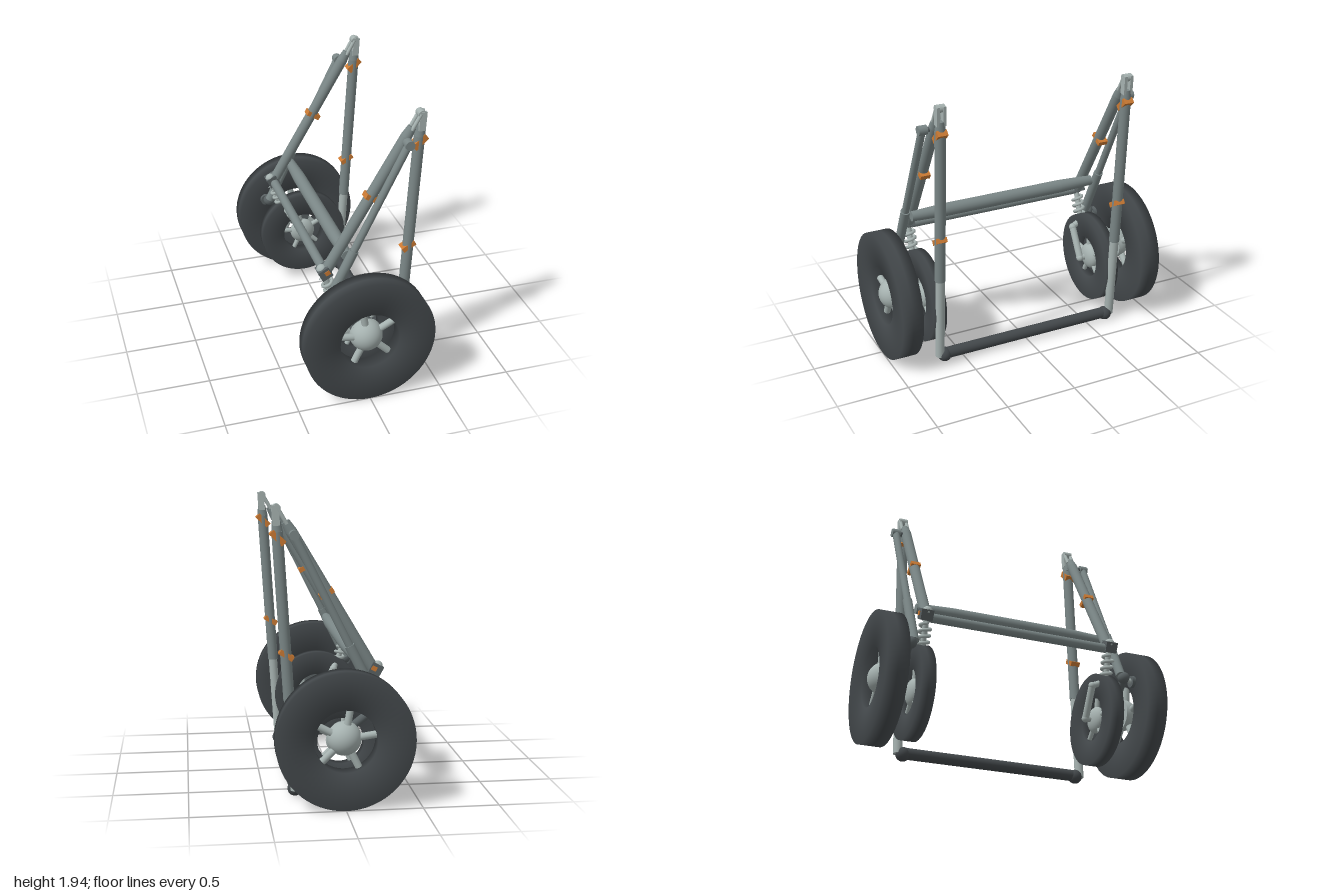
import * as THREE from 'three';

export function createModel() {
  const model = new THREE.Group();
  const paint = (name, color) => {
    const m = new THREE.MeshStandardMaterial({ color });
    m.name = name;
    return m;
  };
  const frame = paint('frame grey', 0x7a8686);
  const light = paint('light metal', 0xa6b2b0);
  const joint = paint('joint grey', 0x596163);
  const rubber = paint('dark rubber', 0x43484b);
  const orange = paint('orange', 0xcb7a33);
  const V = (x, y, z) => new THREE.Vector3(x, y, z);

  function add(parent, name, geometry, material, x = 0, y = 0, z = 0) {
    const mesh = new THREE.Mesh(geometry, material);
    mesh.name = name;
    mesh.position.set(x, y, z);
    parent.add(mesh);
    return mesh;
  }

  // Round rod between two points, optionally tapered
  function rod(parent, name, a, b, ra, material, rb = ra) {
    const dir = b.clone().sub(a);
    const mesh = add(parent, name, new THREE.CylinderGeometry(rb, ra, dir.length(), 20), material);
    mesh.position.copy(a).add(b).multiplyScalar(0.5);
    mesh.quaternion.setFromUnitVectors(V(0, 1, 0), dir.normalize());
    return mesh;
  }

  const ball = (parent, name, p, r, material) =>
    add(parent, name, new THREE.SphereGeometry(r, 24, 16), material, p.x, p.y, p.z);

  // Smooth ring around the z axis with slightly dished side faces
  function dishedRing(parent, name, outer, inner, halfRim, halfBore, y, z) {
    const profile = [
      [outer, 0], [outer, halfRim], [inner, halfBore], [inner, -halfBore], [outer, -halfRim], [outer, 0],
    ].map(([r, h]) => new THREE.Vector2(r, h));
    const geometry = new THREE.LatheGeometry(profile, 64);
    geometry.rotateX(Math.PI / 2);
    return add(parent, name, geometry, rubber, 0, y, z);
  }

  // Five spokes round a hub
  function spokes(parent, name, y, z, reach, r) {
    for (let i = 0; i < 5; i++) {
      const a = THREE.MathUtils.degToRad(100 + 72 * i);
      rod(parent, name, V(0, y, z), V(reach * Math.cos(a), y + reach * Math.sin(a), z), r, light);
    }
  }

  // Orange clamp plate set across a tube
  function clamp(parent, x, y, z, angle, length, thickness = 0.035) {
    const mesh = add(parent, 'clamp', new THREE.BoxGeometry(length, thickness, 0.07), orange, x, y, z);
    mesh.rotation.z = angle;
  }

  for (const s of [1, -1]) {
    const side = new THREE.Group();
    side.name = s > 0 ? 'frontSide' : 'backSide';
    model.add(side);
    const P = (x, y, z) => V(x, y, z * s);

    // Large wheel with domed hub, spokes and axle
    dishedRing(side, 'wheel', 0.45, 0.205, 0.075, 0.055, 0.45, 0.925 * s);
    const dome = add(side, 'hub', new THREE.SphereGeometry(0.112, 28, 12, 0, Math.PI * 2, 0, Math.PI / 2),
      light, 0, 0.45, 0.886 * s);
    dome.rotation.x = s * Math.PI / 2;
    rod(side, 'hubBack', P(0, 0.45, 0.87), P(0, 0.45, 0.887), 0.112, light);
    spokes(side, 'spoke', 0.45, 0.915 * s, 0.215, 0.024);
    rod(side, 'axle', P(0, 0.45, 0.77), P(0, 0.45, 0.88), 0.02, light);
    rod(side, 'axleCap', P(0, 0.455, 0.77), P(0, 0.455, 0.82), 0.08, joint);

    // Small inner wheel with its crank
    dishedRing(side, 'innerWheel', 0.325, 0.155, 0.05, 0.035, 0.385, 0.68 * s);
    ball(side, 'innerHub', P(0, 0.385, 0.68), 0.095, light).scale.z = 0.55;
    spokes(side, 'innerSpoke', 0.385, 0.68 * s, 0.165, 0.017);
    rod(side, 'crankAxle', P(0, 0.385, 0.58), P(0, 0.385, 0.68), 0.022, light);
    rod(side, 'crankArm', P(0, 0.385, 0.595), P(-0.12, 0.59, 0.595), 0.025, light);
    ball(side, 'crankEnd', P(0, 0.385, 0.595), 0.027, light);
    ball(side, 'crankEnd', P(-0.12, 0.59, 0.595), 0.027, light);
    rod(side, 'crankPin', P(-0.12, 0.59, 0.595), P(-0.15, 0.62, 0.68), 0.022, light);

    // Coil spring around its strut
    const top = P(-0.24, 0.86, 0.68), bottom = P(-0.15, 0.61, 0.68);
    rod(side, 'springStrut', bottom, top, 0.02, light);
    const axis = top.clone().sub(bottom).normalize();
    const across = V(0, 0, 1).cross(axis);
    const coil = [];
    for (let i = 0; i <= 64; i++) {
      const a = i / 64 * Math.PI * 8;
      coil.push(bottom.clone().lerp(top, 0.1 + 0.65 * i / 64)
        .addScaledVector(across, 0.036 * Math.cos(a)).add(V(0, 0, 0.036 * Math.sin(a))));
    }
    add(side, 'spring', new THREE.TubeGeometry(new THREE.CatmullRomCurve3(coil), 128, 0.012, 6), light);
    ball(side, 'springHead', P(-0.245, 0.875, 0.68), 0.036, light);

    // Front leg: thick upper tube sliding over a thin lower one
    rod(side, 'lowerLeg', P(0.297, 0.05, 0.68), P(0.338, 0.68, 0.68), 0.032, light);
    rod(side, 'upperLeg', P(0.336, 0.66, 0.68), P(0.405, 1.76, 0.68), 0.037, frame);
    rod(side, 'legTaper', P(0.405, 1.76, 0.68), P(0.412, 1.83, 0.68), 0.037, frame, 0.028);

    // Main tube sloping from the tip down to the pivot block
    rod(side, 'mainTube', P(-0.225, 0.845, 0.68), P(0.315, 1.76, 0.68), 0.038, frame);
    rod(side, 'mainTaper', P(0.315, 1.76, 0.68), P(0.353, 1.825, 0.68), 0.038, frame, 0.028);
    const block = add(side, 'pivotBlock', new THREE.BoxGeometry(0.08, 0.075, 0.085), joint, -0.23, 0.858, 0.685 * s);
    block.rotation.z = 0.5;

    // Forked tip where leg and main tube meet
    for (const dz of [-0.022, 0.022]) {
      const prong = add(side, 'legProng', new THREE.BoxGeometry(0.045, 0.13, 0.022), light,
        0.415, 1.865, 0.68 * s + dz);
      prong.rotation.z = -0.06;
      rod(side, 'tubeProng', P(0.345, 1.81, 0.68 + dz), P(0.405, 1.915, 0.68 + dz), 0.013, light);
    }
    rod(side, 'tipPin', P(0.41, 1.912, 0.65), P(0.41, 1.912, 0.71), 0.027, light);

    // Outer strut: slim tube entering a thicker sleeve that reaches behind the wheel
    rod(side, 'outerTube', P(-0.1, 0.93, 0.762), P(0.305, 1.745, 0.762), 0.026, frame);
    rod(side, 'outerSleeve', P(-0.235, 0.65, 0.762), P(-0.05, 1.03, 0.762), 0.033, frame);
    rod(side, 'outerTubeEnd', P(0.305, 1.745, 0.732), P(0.305, 1.745, 0.792), 0.032, frame);
    rod(side, 'outerTubePin', P(0.305, 1.745, 0.68), P(0.305, 1.745, 0.75), 0.018, joint);

    // Link from the strut foot to the axle, with side knob
    rod(side, 'link', P(-0.235, 0.635, 0.79), P(0, 0.455, 0.795), 0.027, joint);
    ball(side, 'linkJoint', P(-0.235, 0.635, 0.785), 0.042, joint);
    rod(side, 'knobStem', P(-0.235, 0.635, 0.785), P(-0.245, 0.61, 0.84), 0.018, light);
    rod(side, 'knob', P(-0.245, 0.61, 0.832), P(-0.245, 0.61, 0.855), 0.042, joint);

    // Clamps
    clamp(side, 0.403, 1.722, 0.68 * s, 0.75, 0.112, 0.042);
    clamp(side, 0.352, 0.963, 0.68 * s, 0.55, 0.1);
    clamp(side, 0.09, 1.362, 0.68 * s, -0.52, 0.1);
    clamp(side, -0.218, 0.868, 0.697 * s, 0.5, 0.035, 0.03);

    // Tapered end of the main crossbar and foot of the bottom bar
    rod(side, 'crossbarEnd', P(-0.08, 0.967, 0.45), P(-0.08, 0.967, 0.71), 0.047, frame, 0.036);
    ball(side, 'footBall', P(0.297, 0.052, 0.645), 0.05, rubber);
  }

  // Crossbars joining the two sides
  rod(model, 'mainCrossbar', V(-0.08, 0.967, -0.45), V(-0.08, 0.967, 0.45), 0.047, frame);
  rod(model, 'rearCrossbar', V(-0.22, 0.845, -0.66), V(-0.22, 0.845, 0.66), 0.032, frame);
  rod(model, 'bottomBar', V(0.297, 0.058, -0.65), V(0.297, 0.058, 0.65), 0.04, rubber);

  return model;
}
